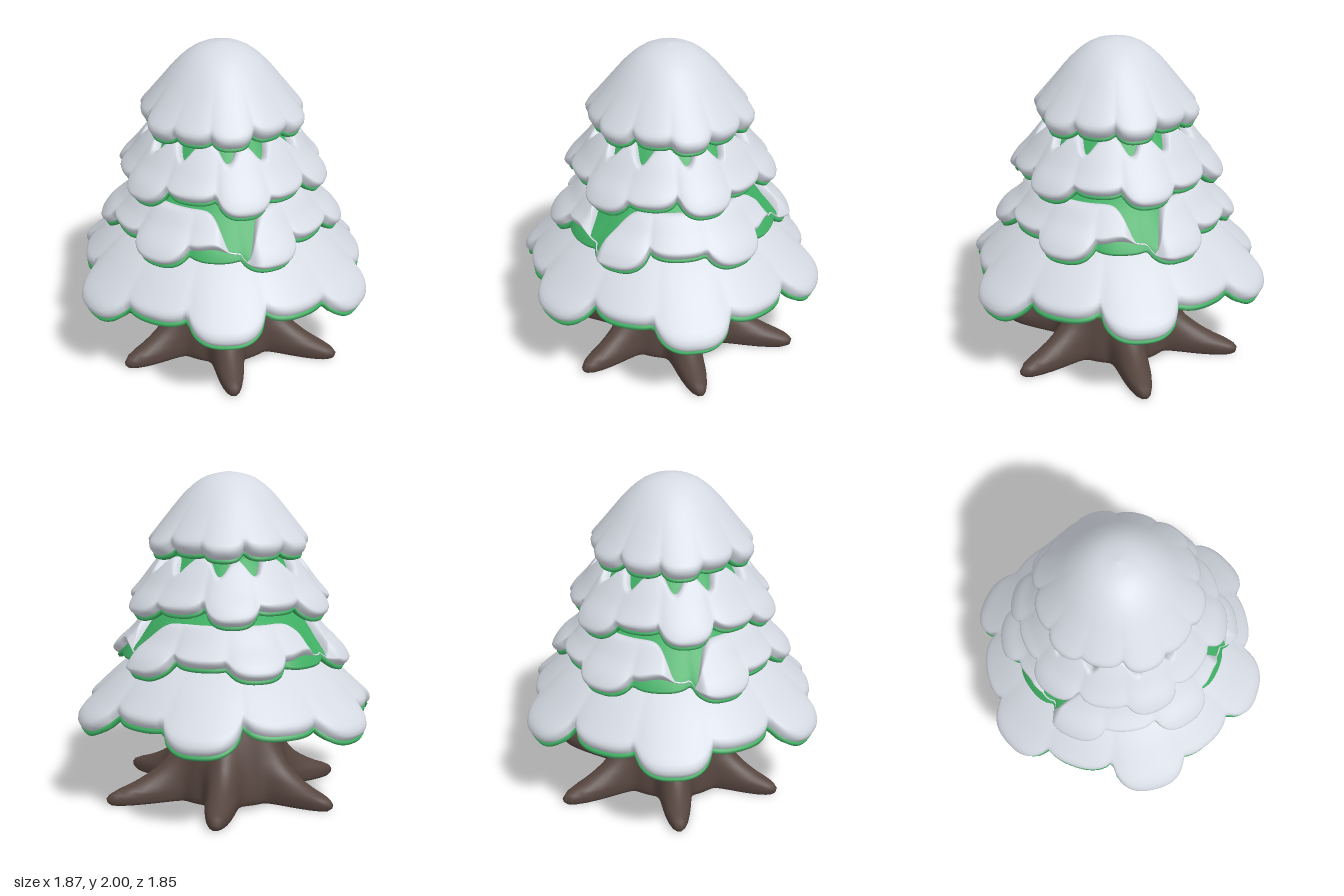
import * as THREE from 'three';

const RAD = Math.PI / 180;
const mat = (name, color) => {
  const m = new THREE.MeshStandardMaterial({ color, side: THREE.DoubleSide });
  m.name = name;
  return m;
};
// signed angle difference in degrees, -180..180
const angleDiff = (a, b) => ((((a - b) % 360) + 540) % 360) - 180;
// sum of soft bells around a list of angles
const bells = (deg, angles, width) =>
  angles.reduce((sum, a) => sum + Math.exp(-Math.pow(angleDiff(deg, a) / width, 2)), 0);

// closed surface of stacked rings; point(deg, row) -> [radius, y]
function ringSurface(segments, rows, point) {
  const pos = [], idx = [];
  for (let j = 0; j < rows; j++) {
    for (let i = 0; i < segments; i++) {
      const deg = (i / segments) * 360;
      const [r, y] = point(deg, j);
      pos.push(r * Math.cos(deg * RAD), y, r * Math.sin(deg * RAD));
    }
  }
  for (let j = 0; j < rows - 1; j++) {
    for (let i = 0; i < segments; i++) {
      const n = (i + 1) % segments;
      const a = j * segments + i, b = j * segments + n;
      const c = a + segments, d = b + segments;
      idx.push(a, b, c, b, d, c);
    }
  }
  const g = new THREE.BufferGeometry();
  g.setAttribute('position', new THREE.Float32BufferAttribute(pos, 3));
  g.setIndex(idx);
  g.computeVertexNormals();
  return g;
}

// every tier: profile from centre to hem, phase of the long lobes, snow limits,
// gaps (snow pulled down from above) and bare spots (snow pulled up from the hem)
const TIERS = [
  { name: 'topTier', profile: [[0, 1.93], [0.12, 1.9], [0.22, 1.82], [0.32, 1.7], [0.4, 1.6], [0.485, 1.495]],
    phase: 40, valley: 0.83, short: 0.95, snow: 0.068, start: 0, gaps: [], depth: 0, width: 1, bare: [], bump: 0.03 },
  { name: 'upperTier', profile: [[0, 1.62], [0.28, 1.56], [0.4, 1.44], [0.5, 1.31], [0.575, 1.22], [0.62, 1.13]],
    phase: 37, valley: 0.8, short: 0.91, snow: 0.05, start: 0.44, bump: 0.045, bare: [],
    gaps: [18, 44, 78, 104, 138, 164, 198, 224, 258, 284, 318, 344], depth: 0.16, width: 7.5 },
  { name: 'middleTier', profile: [[0, 1.3], [0.3, 1.22], [0.46, 1.12], [0.57, 1.0], [0.66, 0.91], [0.71, 0.82]],
    phase: 22, valley: 0.81, short: 0.9, snow: 0.05, start: 0.56, bump: 0.045, bare: [113, 233, 353],
    gaps: [99, 219, 339], depth: 0.4, width: 10 },
  { name: 'lowerTier', profile: [[0, 1.0], [0.3, 0.95], [0.5, 0.87], [0.65, 0.76], [0.79, 0.63], [0.89, 0.53], [0.93, 0.45]],
    phase: 46, valley: 0.77, short: 0.885, snow: 0.05, start: 0.3, gaps: [], depth: 0, width: 1, bare: [], bump: 0.05 },
];

function buildTier(spec, green, white) {
  const curve = new THREE.SplineCurve(spec.profile.map(([r, y]) => new THREE.Vector2(r, y)));

  // twelve rounded lobes, alternately long and short; long ones stand further out
  const lobes = [];
  for (let k = 0; k < 12; k++) {
    const long = k % 2 === 0;
    lobes.push({
      at: spec.phase + k * 30 + 2 * Math.sin(k * 2.3 + spec.phase),
      half: long ? 16.5 : 17.5,
      reach: (long ? 0.99 : spec.short) + 0.012 * Math.sin(k * 1.7 + spec.phase),
      lift: long ? 1.15 : 0.85,
    });
  }
  const hem = (deg) => {
    let length = spec.valley, round = 0;
    for (const l of lobes) {
      const u = Math.abs(angleDiff(deg, l.at)) / l.half;
      if (u >= 1) continue;
      const f = Math.sqrt(1 - Math.pow(u, 2.7));
      length = Math.max(length, spec.valley + (l.reach - spec.valley) * f);
      round = Math.max(round, f * l.lift);
    }
    return { length: Math.min(length, 1), round };
  };

  // point on the tier at distance t down the slope, lifted along the normal
  const onSlope = (t, round, lift) => {
    const p = curve.getPointAt(t), d = curve.getTangentAt(t);
    const h = lift + spec.bump * (round - 0.85) * Math.pow(t, 4);
    return [Math.max(0, p.x - d.y * h * Math.min(1, p.x / 0.1)), p.y + d.x * h];
  };

  const group = new THREE.Group();
  group.name = spec.name;

  // foliage: outer face, rounded hem, inner face
  const n = 13, thick = 0.035;
  const foliage = ringSurface(240, 2 * n + 1, (deg, j) => {
    const { length, round } = hem(deg);
    if (j === n) return onSlope(length, round, -thick / 2);
    const k = j < n ? j : 2 * n - j;
    return onSlope((k / (n - 1)) * (length - 0.012), round, j < n ? 0 : -thick);
  });
  const foliageMesh = new THREE.Mesh(foliage, green);
  foliageMesh.name = spec.name + 'Foliage';

  // snow blanket: puffed up, rounded at both edges, leaving a green lip
  const rows = 22, lip = 0.07;
  const snow = ringSurface(240, rows + 1, (deg, j) => {
    const { length, round } = hem(deg);
    const end = length - 0.022 - 0.07 * bells(deg, spec.bare, 12);
    const start = Math.min(spec.start + spec.depth * bells(deg, spec.gaps, spec.width), end - 0.01);
    const s = (1 - Math.cos((Math.PI * j) / rows)) / 2;
    let puff = 1;
    if (spec.start > 0 && s < 0.15) puff = Math.sqrt(1 - Math.pow(1 - s / 0.15, 2));
    if (s > 1 - lip) puff = Math.sqrt(Math.max(0, 1 - Math.pow((s - 1 + lip) / lip, 2)));
    const scale = Math.min(1, (end - start) / 0.15);
    return onSlope(start + (end - start) * s, round, spec.snow * scale * puff - 0.003 * (1 - puff));
  });
  const snowMesh = new THREE.Mesh(snow, white);
  snowMesh.name = spec.name + 'Snow';

  group.add(foliageMesh, snowMesh);
  return group;
}

// trunk: rows of [y, radius between roots, radius along a root]
function buildTrunk(brown) {
  const rows = [
    [0.85, 0, 0], [0.84, 0.12, 0.12], [0.75, 0.19, 0.19], [0.57, 0.245, 0.25], [0.48, 0.275, 0.285],
    [0.4, 0.305, 0.325], [0.32, 0.33, 0.37], [0.25, 0.348, 0.415], [0.2, 0.358, 0.465], [0.16, 0.365, 0.53],
    [0.13, 0.37, 0.59], [0.105, 0.372, 0.65], [0.085, 0.374, 0.71], [0.065, 0.375, 0.755],
    [0.04, 0.375, 0.775], [0.015, 0.372, 0.77], [0, 0.36, 0.75], [0, 0, 0],
  ];
  const geo = ringSurface(180, rows.length, (deg, j) => {
    const [y, core, root] = rows[j];
    // six roots, pinched tighter towards the ground
    const pinch = y > 0.2 ? 4 : 8 - 20 * y;
    const ridge = Math.pow(Math.abs(Math.cos(3 * (deg - 43) * RAD)), pinch);
    const vary = 1 + 0.1 * Math.cos((deg + 30) * RAD);
    return [core + (root - core) * ridge * vary, y];
  });
  const mesh = new THREE.Mesh(geo, brown);
  mesh.name = 'trunkWithRoots';
  return mesh;
}

export function createModel() {
  const white = mat('snow', 0xd5dae3);
  const green = mat('foliage', 0x3fae63);
  const brown = mat('bark', 0x56453f);

  const tree = new THREE.Group();
  tree.name = 'snowyTree';
  tree.add(buildTrunk(brown));
  for (const spec of TIERS) tree.add(buildTier(spec, green, white));
  return tree;
}
